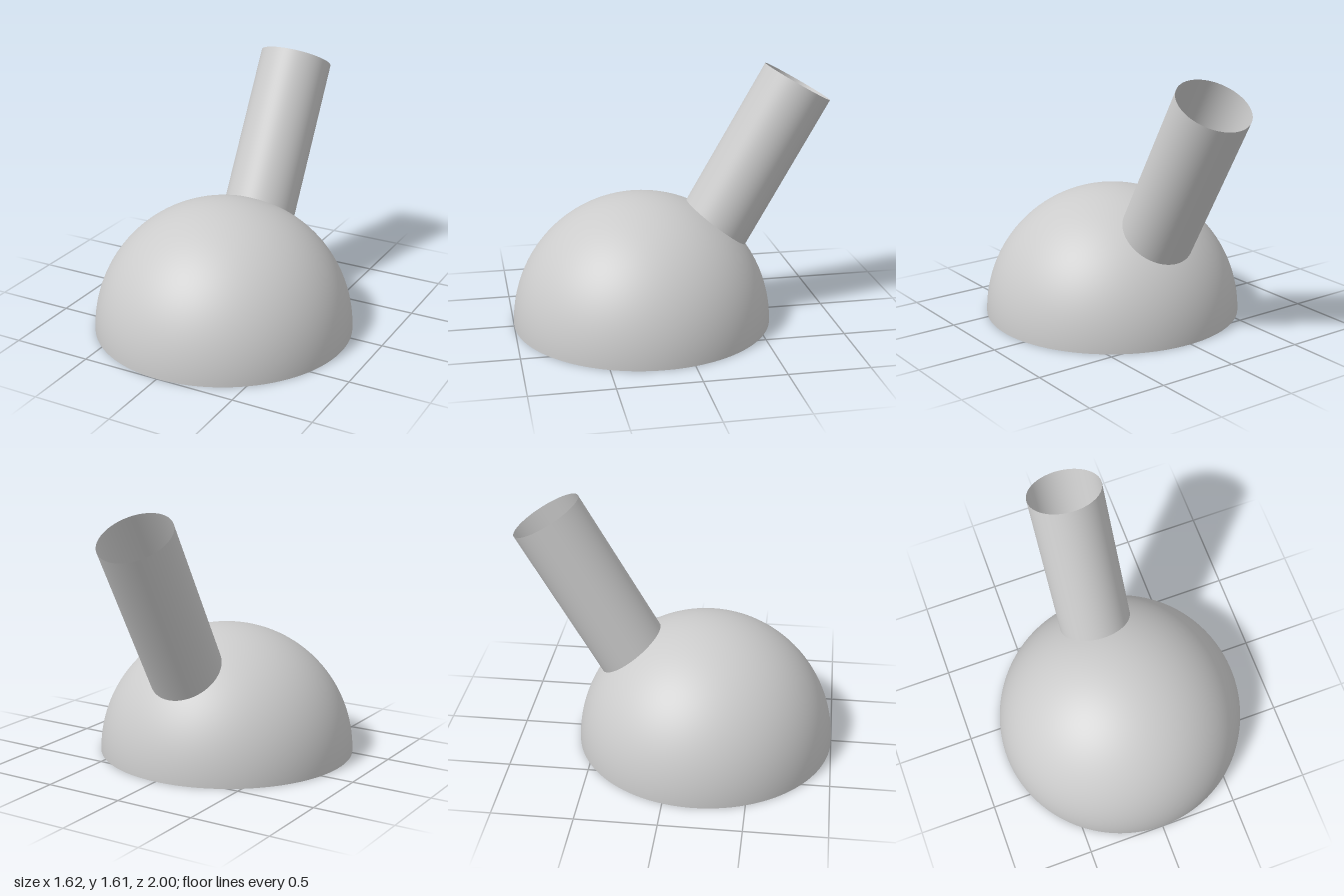
import * as THREE from 'three';

const DOME_R = 0.812, TUBE_R = 0.231, SEGMENTS = 128, DOME_ROWS = 64;
const domeCentre = new THREE.Vector3(0, 0, 0.188);
// Tube axis leans back 30 degrees; the positions below are relative to the dome centre
const axis = new THREE.Vector3(0, Math.cos(Math.PI / 6), -Math.sin(Math.PI / 6));
const tubeTop = new THREE.Vector3(0, 1.495, -0.8).sub(domeCentre);
const side = new THREE.Vector3(-1, 0, 0);
const front = new THREE.Vector3(0, axis.z * -1, axis.y);

// Open smooth skin through closed loops of points, ordered from top to bottom
function loft(loops, name, material) {
  const n = loops[0].length, index = [];
  for (let i = 0; i < loops.length - 1; i++) {
    for (let j = 0; j < n; j++) {
      const a = i * n + j, b = i * n + (j + 1) % n;
      index.push(a, a + n, b, b, a + n, b + n);
    }
  }
  const geometry = new THREE.BufferGeometry().setFromPoints(loops.flat());
  geometry.setIndex(index);
  geometry.computeVertexNormals();
  const mesh = new THREE.Mesh(geometry, material);
  mesh.name = name;
  return mesh;
}

// Where a line running along the tube axis from p enters the dome
function dropToDome(p) {
  const along = p.dot(axis);
  const drop = along - Math.sqrt(along * along - p.lengthSq() + DOME_R * DOME_R);
  return p.clone().addScaledVector(axis, -drop);
}

export function createModel() {
  const group = new THREE.Group();
  group.name = 'domeWithTube';
  const material = new THREE.MeshStandardMaterial({ color: 0xcccccc, side: THREE.DoubleSide });

  // Tube rim and its junction with the dome
  const rim = [], junction = [];
  for (let j = 0; j < SEGMENTS; j++) {
    const a = (j / SEGMENTS) * Math.PI * 2;
    const p = tubeTop.clone()
      .addScaledVector(side, TUBE_R * Math.cos(a))
      .addScaledVector(front, TUBE_R * Math.sin(a));
    rim.push(p);
    junction.push(dropToDome(p));
  }

  // Dome skin: great-circle arcs fanning from the junction down to the base rim
  const hub = dropToDome(tubeTop).normalize();
  const arcs = junction.map((p) => {
    const dir = p.clone().normalize();
    const start = hub.angleTo(dir);
    const tangent = dir.addScaledVector(hub, -hub.dot(dir)).normalize();
    return { tangent, start, end: Math.atan2(hub.y, -tangent.y) };
  });
  const domeLoops = [];
  for (let i = 0; i <= DOME_ROWS; i++) {
    domeLoops.push(arcs.map(({ tangent, start, end }) => {
      const t = THREE.MathUtils.lerp(start, end, i / DOME_ROWS);
      return hub.clone().multiplyScalar(DOME_R * Math.cos(t))
        .addScaledVector(tangent, DOME_R * Math.sin(t));
    }));
  }

  group.add(loft(domeLoops, 'dome', material), loft([rim, junction], 'tube', material));
  group.children.forEach((mesh) => mesh.position.copy(domeCentre));
  return group;
}
